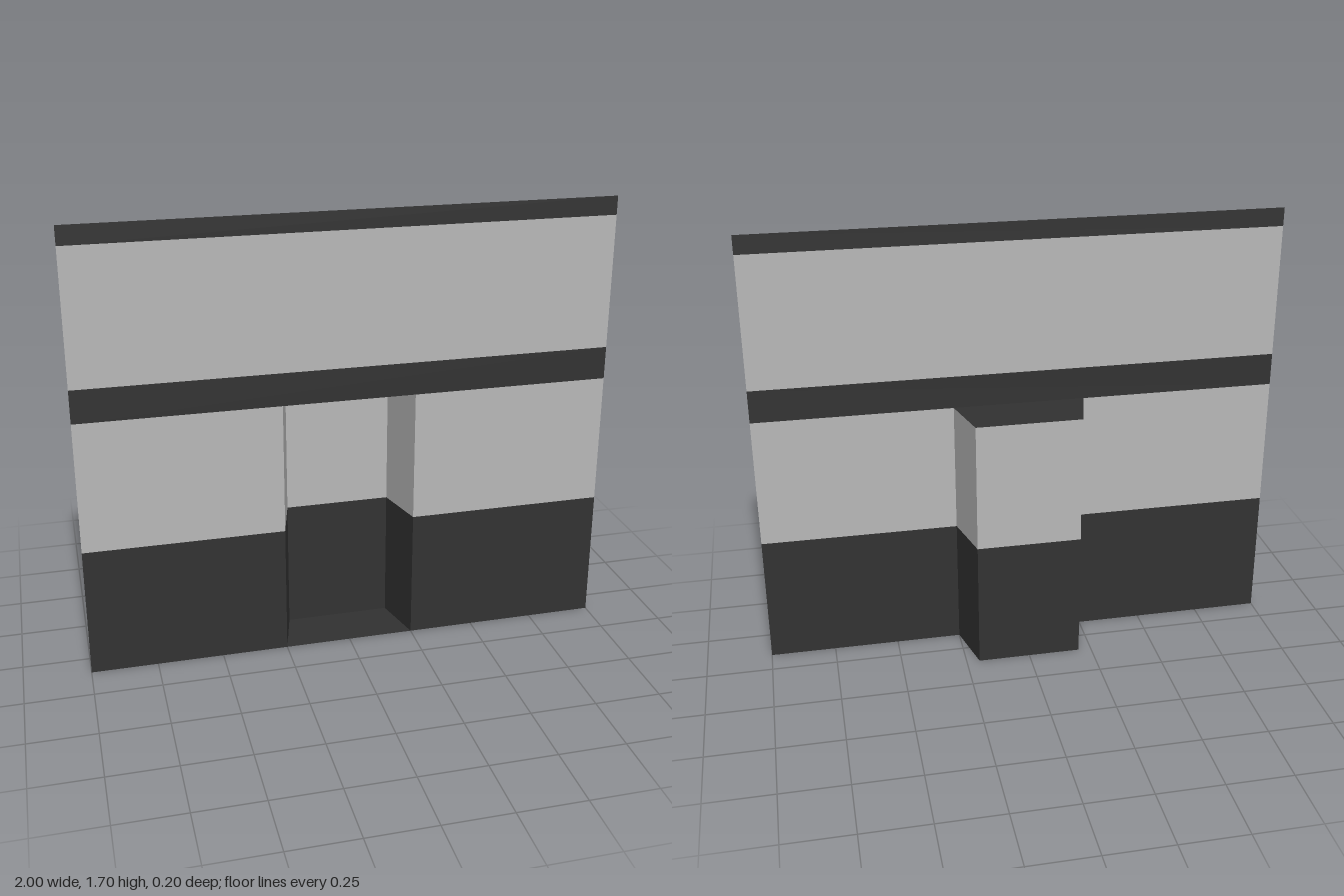
import * as THREE from 'three';

export function createModel() {
  const model = new THREE.Group();
  model.name = 'wallWithNiche';

  const grey = new THREE.MeshStandardMaterial({ name: 'lightGrey', color: 0xb8b8b8, side: THREE.DoubleSide });
  const dark = new THREE.MeshStandardMaterial({ name: 'charcoal', color: 0x323232, side: THREE.DoubleSide });

  // Upright sheet between two plan points [x, z], from height y0 to y1
  function sheet(name, [x0, z0], [x1, z1], y0, y1, material, parent) {
    const dx = x1 - x0, dz = z1 - z0;
    const mesh = new THREE.Mesh(new THREE.PlaneGeometry(Math.hypot(dx, dz), y1 - y0), material);
    mesh.name = name;
    mesh.position.set((x0 + x1) / 2, (y0 + y1) / 2, (z0 + z1) / 2);
    mesh.rotation.y = Math.atan2(-dz, dx);
    parent.add(mesh);
  }

  const nicheTop = 1, dadoTop = 0.5, front = 0.1, back = -0.1;
  // Plan of the lower wall: it steps back through the tapered niche
  const plan = [[-1, front], [-0.25, front], [-0.2, back], [0.2, back], [0.25, front], [1, front]];
  const sections = ['rightWall', 'nicheRightSide', 'nicheBack', 'nicheLeftSide', 'leftWall'];

  // Lower wall and niche, with a dark dado below and grey above
  sections.forEach((name, i) => {
    const section = new THREE.Group();
    section.name = name;
    sheet(name + 'Dado', plan[i], plan[i + 1], 0, dadoTop, dark, section);
    sheet(name + 'Panel', plan[i], plan[i + 1], dadoTop, nicheTop, grey, section);
    model.add(section);
  });

  // Full-width upper wall bands
  const bands = [
    ['middleStripe', nicheTop, 1.125, dark],
    ['upperPanel', 1.125, 1.63, grey],
    ['topStripe', 1.63, 1.7, dark],
  ];
  for (const [name, y0, y1, material] of bands) sheet(name, plan[0], plan[5], y0, y1, material, model);

  // Niche floor and ceiling share the trapezoid outline
  const outline = new THREE.Shape(plan.slice(1, 5).map(([x, z]) => new THREE.Vector2(x, -z)));
  const slab = new THREE.ShapeGeometry(outline).rotateX(-Math.PI / 2);
  for (const [name, y] of [['nicheFloor', 0], ['nicheCeiling', nicheTop]]) {
    const mesh = new THREE.Mesh(slab, dark);
    mesh.name = name;
    mesh.position.y = y;
    model.add(mesh);
  }

  return model;
}
